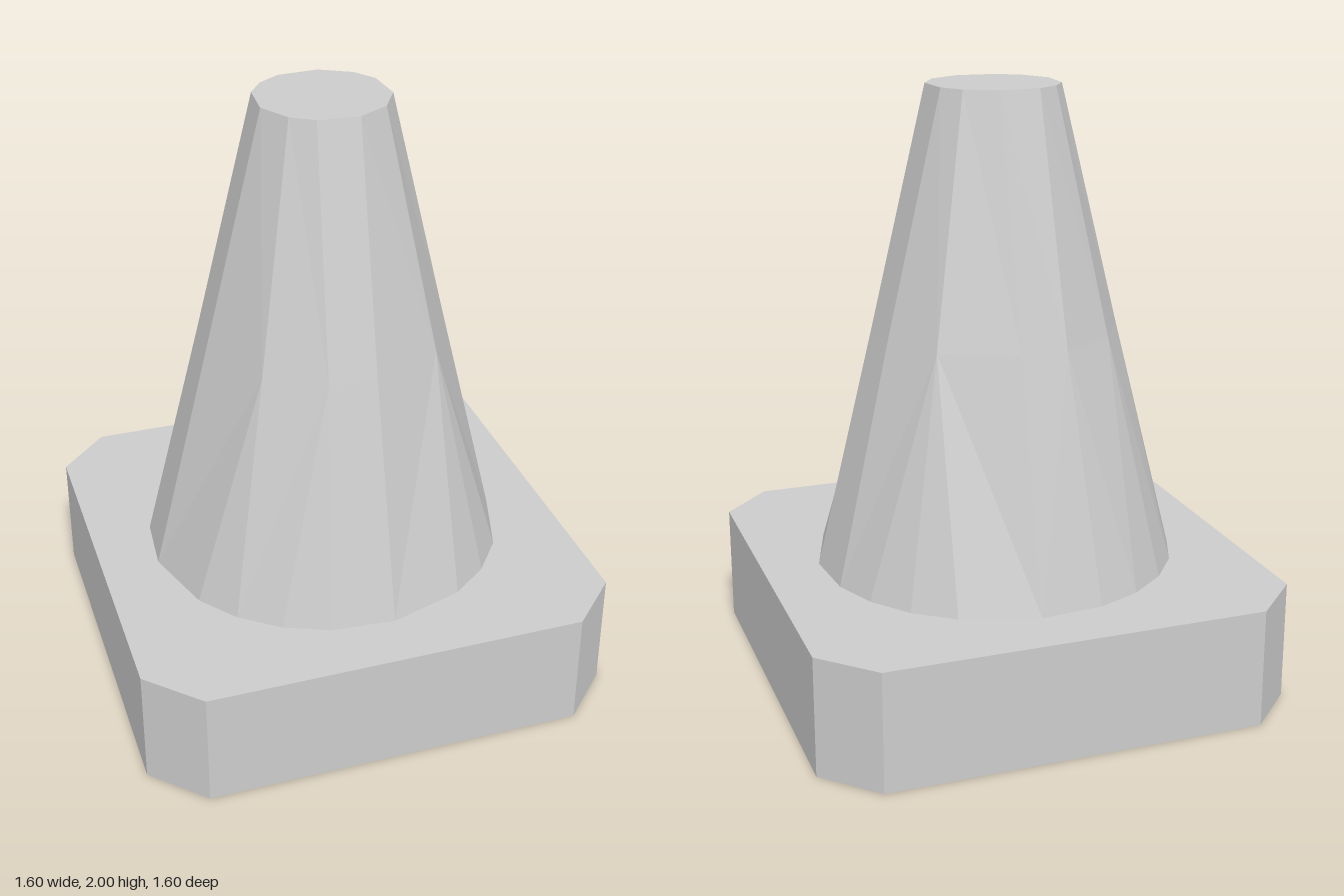
import * as THREE from 'three';

// Ring of points at the given angles, measured from +x towards +z
function ring(radius, y, degrees) {
  return degrees.map((d) => {
    const a = THREE.MathUtils.degToRad(d);
    return new THREE.Vector3(radius * Math.cos(a), y, radius * Math.sin(a));
  });
}

// Stitch two rings: 'u' advances the upper ring, 'l' the lower ring
function stitch(points, lower, upper, steps) {
  let l = 0, u = 0;
  for (const step of steps) {
    const a = lower[l % lower.length], b = upper[u % upper.length];
    if (step === 'u') points.push(a, b, upper[++u % upper.length]);
    else points.push(a, b, lower[++l % lower.length]);
  }
}

export function createModel() {
  const group = new THREE.Group();
  const grey = new THREE.MeshStandardMaterial({ color: 0xcccccc, flatShading: true });
  grey.name = 'light grey';

  // Square base slab with chamfered corners
  const s = 0.8, c = 0.633;
  const outline = new THREE.Shape([
    [c, -s], [s, -c], [s, c], [c, s], [-c, s], [-s, c], [-s, -c], [-c, -s],
  ].map(([x, y]) => new THREE.Vector2(x, y)));
  const baseGeometry = new THREE.ExtrudeGeometry(outline, { depth: 0.4, bevelEnabled: false });
  baseGeometry.rotateX(-Math.PI / 2);
  const base = new THREE.Mesh(baseGeometry, grey);
  base.name = 'base';
  group.add(base);

  // Faceted cone from three uneven rings
  const foot = ring(0.61, 0.4, [5, 30, 45, 60, 85, 105, 120, 135, 150, 175,
    195, 210, 225, 240, 255, 275, 300, 315, 330, 345]);
  const waist = ring(0.412, 1.2, [7, 45, 83, 105, 135, 173, 195, 225, 255, 277, 315, 345]);
  const tip = ring(0.22, 2, [14, 45, 76, 112, 135, 166, 202, 225, 248, 284, 315, 338]);
  const points = [];
  const quadrants = ['ullllu', 'llullu', 'lullul', 'ullllu'];
  stitch(points, foot, waist, quadrants.map((q) => q + 'lu').join(''));
  stitch(points, waist, tip, 'ul'.repeat(tip.length));

  // Flat cap
  const centre = new THREE.Vector3(0, 2, 0);
  tip.forEach((p, i) => points.push(centre, tip[(i + 1) % tip.length], p));

  const coneGeometry = new THREE.BufferGeometry().setFromPoints(points);
  coneGeometry.computeVertexNormals();
  const cone = new THREE.Mesh(coneGeometry, grey);
  cone.name = 'cone';
  group.add(cone);

  return group;
}
